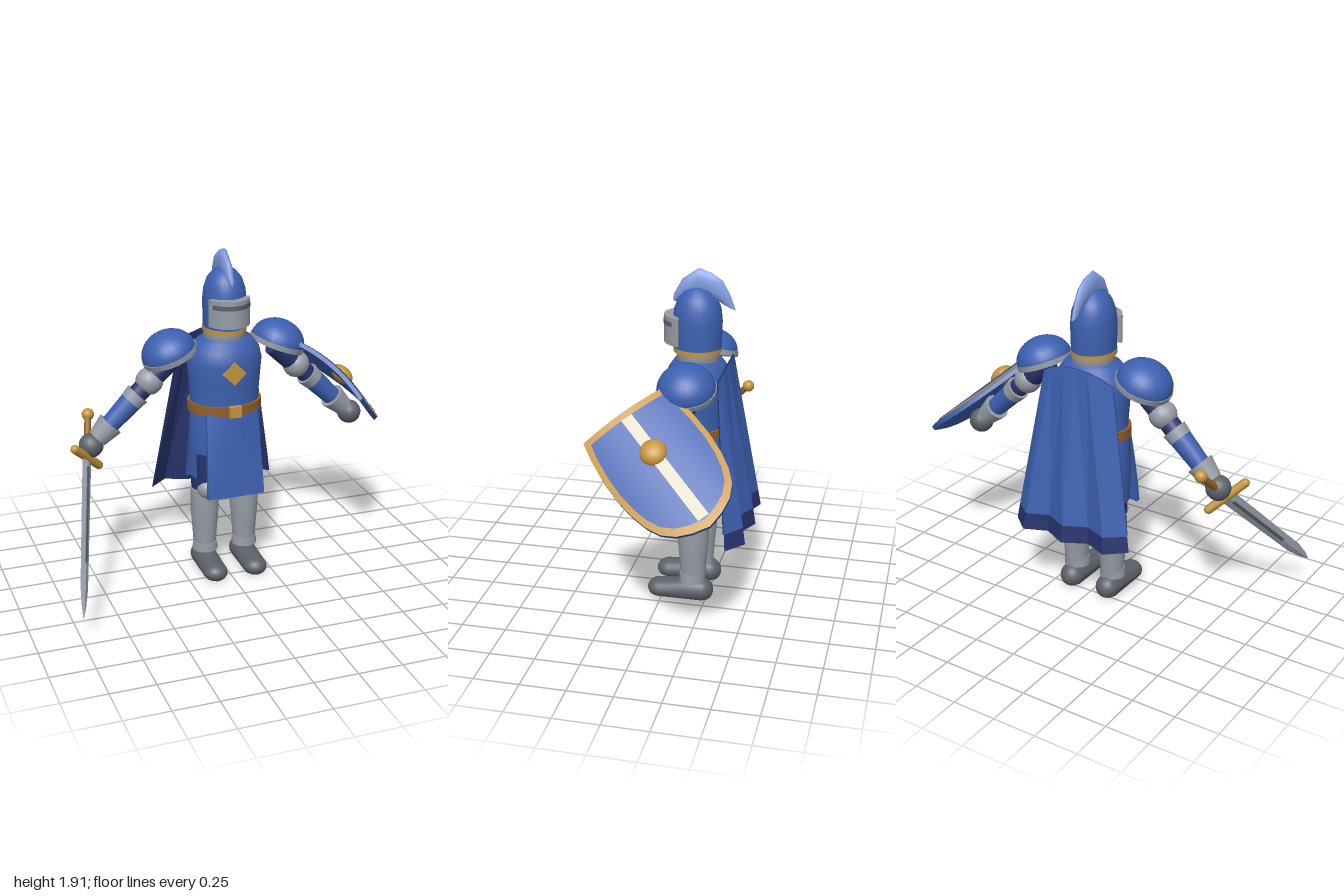
import * as THREE from 'three';
import { toCreasedNormals } from 'three/addons/utils/BufferGeometryUtils.js';

const V = (x, y, z) => new THREE.Vector3(x, y, z);
const CX = 0.025, CZ = -0.17; // body axis

// Surface from a rule f(column, row); normal follows columns x rows
function sheet(nu, nv, f, crease = 0.6) {
  const pos = [], idx = [];
  for (let j = 0; j <= nv; j++) for (let i = 0; i <= nu; i++) pos.push(...f(i, j));
  for (let j = 0; j < nv; j++) for (let i = 0; i < nu; i++) {
    const a = j * (nu + 1) + i, b = a + 1, d = a + nu + 1, c = d + 1;
    idx.push(a, b, d, b, c, d);
  }
  const g = new THREE.BufferGeometry();
  g.setAttribute('position', new THREE.Float32BufferAttribute(pos, 3));
  g.setIndex(idx);
  return toCreasedNormals(g, crease);
}

const lathe = (pts, crease = 0.6, start = 0, len = Math.PI * 2, seg = 28) =>
  toCreasedNormals(new THREE.LatheGeometry(pts.map(p => new THREE.Vector2(...p)), seg, start, len), crease);

export function createModel() {
  const model = new THREE.Group();
  const mat = (name, color, side = THREE.FrontSide) => {
    const m = new THREE.MeshStandardMaterial({ color, side });
    m.name = name;
    return m;
  };
  const blue = mat('royal blue', 0x3c60b0, THREE.DoubleSide), navy = mat('navy', 0x27336c, THREE.DoubleSide);
  const steel = mat('steel', 0x979ca6, THREE.DoubleSide), dark = mat('dark iron', 0x5c6169);
  const bright = mat('blade steel', 0xa2aab6), gold = mat('gold', 0xc4943b);
  const leather = mat('brown leather', 0x935f27), pale = mat('plume blue', 0x829fe3);
  const cream = mat('cream', 0xd8d1bc);

  const add = (name, geo, m, x = 0, y = 0, z = 0, parent = model) => {
    const mesh = new THREE.Mesh(geo, m);
    mesh.name = name;
    mesh.position.set(x, y, z);
    parent.add(mesh);
    return mesh;
  };
  // Tapered round piece between two points
  const rod = (name, a, b, ra, rb, m, parent = model) => {
    const mesh = add(name, new THREE.CylinderGeometry(rb, ra, a.distanceTo(b), 16), m, 0, 0, 0, parent);
    mesh.position.copy(a).lerp(b, 0.5);
    mesh.quaternion.setFromUnitVectors(V(0, 1, 0), b.clone().sub(a).normalize());
    return mesh;
  };

  // Torso, skirt and belt
  add('torso', lathe([[0.205, 0.98], [0.198, 1.06], [0.208, 1.18], [0.216, 1.28], [0.2, 1.35], [0.16, 1.4], [0.1, 1.425], [0, 1.43]], 1), blue, CX, 0, CZ).scale.z = 0.82;
  add('skirt', lathe([[0, 0.77], [0.19, 0.77], [0.212, 0.748], [0.215, 0.8], [0.205, 1], [0, 1]]), blue, CX, 0, CZ + 0.01).scale.z = 0.75;
  add('belt', lathe([[0.19, 0.99], [0.215, 0.99], [0.215, 1.045], [0.19, 1.045]]), leather, CX, 0, CZ).scale.z = 0.84;
  add('buckle', new THREE.BoxGeometry(0.07, 0.064, 0.03), gold, CX, 1.02, 0.018);
  add('chestDiamond', new THREE.BoxGeometry(0.096, 0.096, 0.02), gold, CX, 1.24, 0.003).rotation.z = Math.PI / 4;

  // Tabard panels, front and back, curved to the waist at the top
  for (const s of [1, -1]) {
    const g = new THREE.BoxGeometry(1, 0.5, 0.026, 8, 4), p = g.attributes.position;
    for (let i = 0; i < p.count; i++) {
      const t = p.getY(i) / 0.5 + 0.5, x = p.getX(i) * (0.34 - 0.04 * t);
      p.setX(i, x);
      p.setZ(i, p.getZ(i) - s * x * x * (0.3 + 1.7 * t * t));
    }
    add(s > 0 ? 'frontTabard' : 'backTabard', toCreasedNormals(g, 0.6), blue, CX, 0.76, CZ + s * 0.183).rotation.x = -0.08 * s;
  }

  // Helmet, neck and visor
  add('neck', lathe([[0.1, 1.38], [0.12, 1.41], [0.116, 1.46]], 1), steel, CX, 0, CZ);
  add('neckRing', lathe([[0.1, 1.452], [0.124, 1.452], [0.124, 1.476], [0.1, 1.476]]), gold, CX, 0, CZ + 0.005).scale.z = 1.06;
  add('helmet', lathe([[0.1, 1.472], [0.12, 1.474], [0.121, 1.54], [0.123, 1.62], [0.116, 1.69], [0.096, 1.75], [0.064, 1.79], [0.028, 1.808], [0, 1.812]], 1), blue, CX, 0, CZ + 0.005).scale.z = 1.1;
  const visor = new THREE.Shape().absellipse(0, 0, 0.128, 0.148, Math.PI / 2 - 1.25, Math.PI / 2 + 1.25);
  const visorGeo = new THREE.ExtrudeGeometry(visor, { depth: 0.155, bevelEnabled: false, curveSegments: 20 });
  add('visor', toCreasedNormals(visorGeo.rotateX(Math.PI / 2), 0.6), steel, CX, 1.655, -0.13);
  add('visorSlit', lathe([[0.146, 1.605], [0.151, 1.605], [0.151, 1.631], [0.146, 1.631]], 0.6, -0.98, 1.96, 20), dark, CX, 0, -0.13).scale.x = 0.87;

  // Plume: rows of outer z,y / inner z,y / half width
  const crest = [[-0.03, 1.725, -0.03, 1.725, 0], [-0.033, 1.76, -0.045, 1.72, 0.012], [-0.08, 1.848, -0.1, 1.74, 0.024],
    [-0.17, 1.912, -0.17, 1.765, 0.027], [-0.24, 1.888, -0.22, 1.76, 0.027], [-0.3, 1.848, -0.26, 1.74, 0.025],
    [-0.34, 1.775, -0.28, 1.735, 0.02], [-0.372, 1.69, -0.295, 1.725, 0.012], [-0.335, 1.707, -0.335, 1.707, 0]];
  add('plume', sheet(10, crest.length - 1, (i, j) => {
    const [zo, yo, zi, yi, w] = crest[j], a = i / 10 * Math.PI * 2, c = Math.cos(a) / 2;
    return [w * Math.sin(a), (yo + yi) / 2 + (yo - yi) * c, (zo + zi) / 2 + (zo - zi) * c];
  }, 0.8), pale, CX);

  // Pleated cape with lining and hem; the top corners wrap forward and down
  const foldX = [0.373, 0.265, 0.133, 0, -0.133, -0.265, -0.373];
  const foldZ = [-0.4, -0.495, -0.44, -0.508, -0.44, -0.495, -0.4];
  const cape = (t0, t1) => sheet(6, 1, (i, j) => {
    const t = j ? t1 : t0, wrap = ((i - 3) / 3) ** 2;
    return [foldX[i] * (1 - 0.41 * t), 0.44 + (0.98 - 0.07 * wrap) * t, foldZ[i] * (1 - t) + (0.03 * wrap - 0.353) * t];
  }, 0.1);
  add('cape', cape(0.1, 1), blue, CX);
  add('capeHem', cape(0, 0.1), navy, CX);
  add('capeLining', cape(0.1, 1), navy, CX, 0, 0.006);

  for (const s of [1, -1]) {
    const side = s > 0 ? 'left' : 'right', lx = CX + s * 0.122;
    // Legs, with a curved plate on the outside of the thigh
    add(side + 'Thigh', new THREE.CylinderGeometry(0.095, 0.084, 0.28, 18), navy, CX + s * 0.115, 0.65, CZ);
    const plate = new THREE.CylinderGeometry(0.1, 0.096, 0.17, 10, 1, true, s * Math.PI / 2 - 0.65, 1.3);
    add(side + 'ThighPlate', plate, blue, CX + s * 0.115, 0.68, CZ - 0.008).scale.z = 1.35;
    add(side + 'Knee', new THREE.SphereGeometry(0.062, 16, 12), steel, lx, 0.515, -0.12);
    add(side + 'Greave', lathe([[0.064, 0.12], [0.072, 0.25], [0.083, 0.38], [0.08, 0.5], [0, 0.5]]), steel, lx, 0, -0.175).scale.z = 1.08;
    add(side + 'AnkleCuff', new THREE.CylinderGeometry(0.071, 0.075, 0.05, 18), steel, lx, 0.137, -0.17);
    const boot = new THREE.CapsuleGeometry(0.07, 0.24, 8, 18, 6).rotateX(Math.PI / 2), p = boot.attributes.position;
    for (let i = 0; i < p.count; i++) {
      const toe = THREE.MathUtils.smoothstep(p.getZ(i), -0.08, 0.12);
      p.setY(i, Math.max(0, (p.getY(i) + 0.05) * (1 - 0.22 * toe)));
    }
    boot.computeVertexNormals();
    add(side + 'Boot', boot, dark, lx, 0.002, -0.102);

    // Straight arm with armour bands, t runs from shoulder to hand
    const at = t => V(CX + s * (0.325 + 0.46 * t), 1.305 - 0.45 * t, CZ - 0.003);
    rod(side + 'UpperArm', at(-0.05), at(0.3), 0.066, 0.06, navy);
    add(side + 'Elbow', new THREE.SphereGeometry(0.078, 16, 12), steel, ...at(0.25).toArray());
    rod(side + 'ElbowSleeve', at(0.3), at(0.42), 0.055, 0.055, navy);
    rod(side + 'ForearmBand', at(0.4), at(0.49), 0.07, 0.064, steel);
    rod(side + 'Forearm', at(0.48), at(0.8), 0.063, 0.052, blue);
    rod(side + 'GauntletCuff', at(0.75), at(0.92), 0.076, 0.056, steel);
    add(side + 'Hand', new THREE.SphereGeometry(0.07, 16, 12), dark, ...at(1).toArray());

    // Shoulder dome with rim
    const pauldron = new THREE.Group();
    pauldron.name = side + 'Pauldron';
    pauldron.position.set(CX + s * 0.323, 1.345, CZ - 0.003);
    pauldron.rotation.z = -s * 0.36;
    add('shoulderDome', new THREE.SphereGeometry(0.157, 20, 8, 0, Math.PI * 2, 0, Math.PI / 2), blue, 0, 0, 0, pauldron).scale.y = 0.82;
    add('shoulderRim', new THREE.CylinderGeometry(0.162, 0.158, 0.03, 20), steel, 0, -0.012, 0, pauldron);
    model.add(pauldron);
  }

  // Sword: local y runs to the tip, x along the guard
  const sword = new THREE.Group();
  sword.name = 'sword';
  const sy = V(-0.205, -0.635, 0.645).normalize();
  const sz = V(0.17, -0.16, -0.12).cross(sy).normalize();
  const sx = sy.clone().cross(sz);
  sword.applyMatrix4(new THREE.Matrix4().makeBasis(sx, sy, sz).setPosition(-0.795, 0.8, -0.14));
  const edge = [[0, 0, 0], [0, 0.044, 0.011], [0.76, 0.037, 0.01], [0.87, 0.02, 0.008], [0.937, 0, 0]];
  add('blade', sheet(4, 4, (i, j) => {
    const a = -i * Math.PI / 2, [y, w, t] = edge[j];
    return [w * Math.cos(a), y, t * Math.sin(a)];
  }, 0.3), bright, 0, 0, 0, sword);
  add('fuller', new THREE.BoxGeometry(0.018, 0.56, 0.025), dark, 0, 0.34, 0, sword);
  add('guard', new THREE.CapsuleGeometry(0.025, 0.245, 4, 12).rotateZ(Math.PI / 2), gold, 0, 0, 0, sword);
  rod('grip', V(0, -0.25, 0), V(0, 0, 0), 0.019, 0.021, leather, sword);
  add('pommel', new THREE.SphereGeometry(0.035, 14, 10), gold, 0, -0.265, 0, sword);
  model.add(sword);

  // Shield: origin at the middle of the top edge, local z outward
  const shield = new THREE.Group();
  shield.name = 'shield';
  shield.applyMatrix4(new THREE.Matrix4().makeBasis(V(-0.491, 0.491, -0.719), V(-0.508, 0.508, 0.695), V(0.7071, 0.7071, 0)).setPosition(0.537, 1.237, 0.115));
  const halfWidth = [[0, 0.256], [0.1, 0.276], [0.22, 0.29], [0.36, 0.292], [0.48, 0.28], [0.58, 0.257], [0.66, 0.222], [0.72, 0.165], [0.76, 0.09], [0.785, 0]].reverse();
  const bulge = x => 0.042 * (1 - (x / 0.28) ** 2) + 0.005;
  const last = halfWidth.length - 1;
  add('shieldBody', sheet(21, last + 1, (i, j) => {
    const [d, w] = halfWidth[Math.min(j, last)], front = i <= 10 || i === 21;
    const x = i === 21 ? -w : w * (front ? i / 5 - 1 : 1 - (i - 11) / 4.5);
    return [x, -d, bulge(x) - (front || j > last ? 0 : 0.024)];
  }, 0.5), blue, 0, 0, 0, shield);
  // Front layers follow the same curve
  const layer = (scale, lift) => sheet(12, last, (i, j) => {
    const [d, w] = halfWidth[j], x = w * scale * (i / 6 - 1);
    return [x, -0.36 + (0.36 - d) * scale, bulge(x) + lift];
  }, 1);
  add('shieldRim', layer(1, 0.003), gold, 0, 0, 0, shield);
  add('shieldField', layer(0.895, 0.007), blue, 0, 0, 0, shield);
  add('shieldStripe', sheet(4, 1, (i, j) => {
    const x = 0.032 * (i / 2 - 1);
    return [x, j ? -0.04 : -0.73, bulge(x) + 0.011];
  }), cream, 0, 0, 0, shield);
  add('shieldBoss', new THREE.SphereGeometry(0.072, 18, 12), gold, 0, -0.285, 0.05, shield).scale.z = 0.65;
  model.add(shield);

  return model;
}
